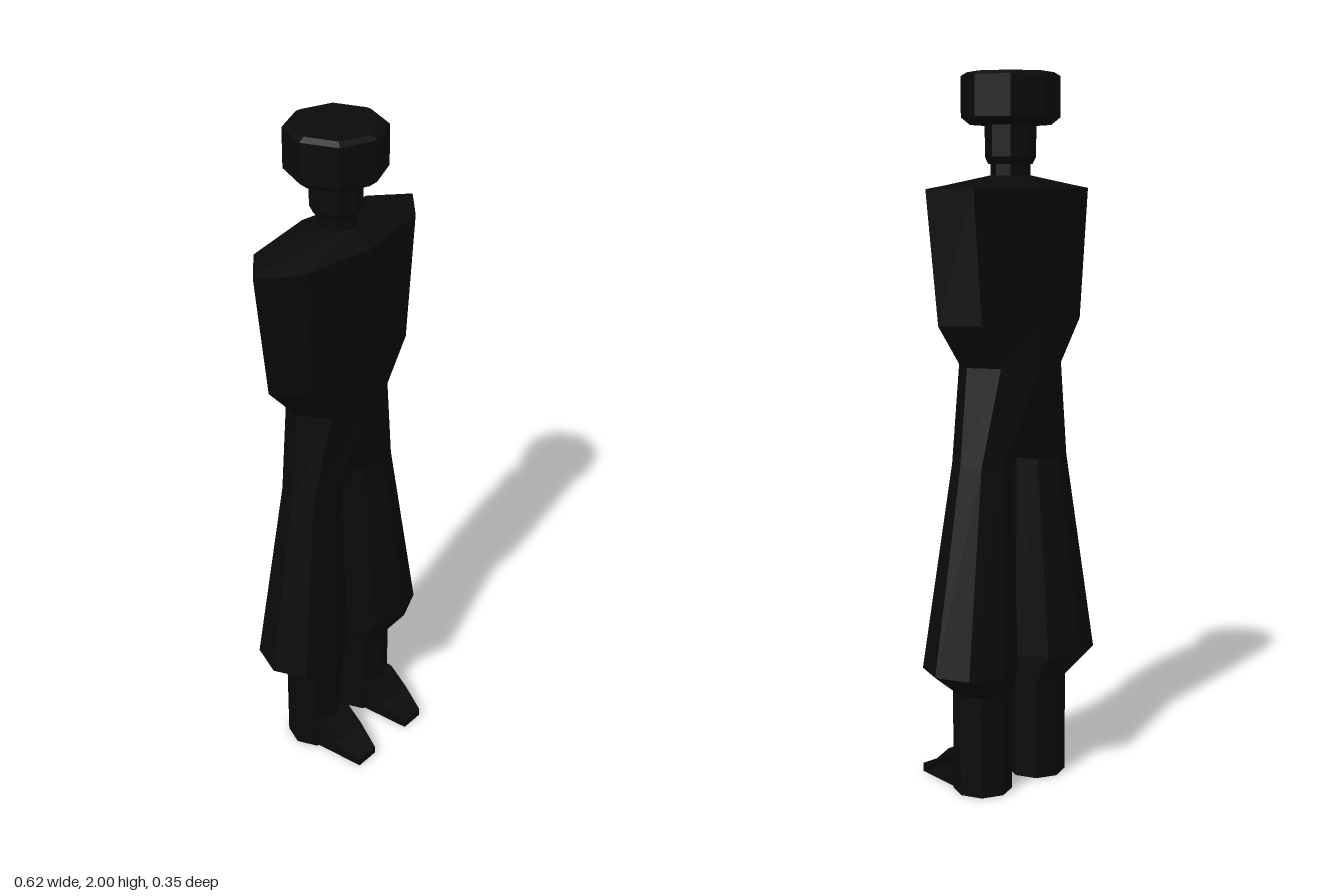
import * as THREE from 'three';

const CZ = -0.038; // depth of the body's centre line
const SIDES = 8;
const material = new THREE.MeshStandardMaterial({ color: 0x0a0a0a, flatShading: true });

// Octagonal cross-section with corners on the axes
function ring(y, rx, rz = rx, cx = 0) {
  return Array.from({ length: SIDES }, (_, i) => {
    const a = (i / SIDES) * Math.PI * 2;
    return [cx + Math.cos(a) * rx, y, CZ + Math.sin(a) * rz];
  });
}

// Skin a stack of equal-sized rings, listed from bottom to top
function loft(name, rings, capBottom = true, capTop = true) {
  const n = rings[0].length;
  const positions = rings.flat(2);
  const index = [];
  for (let r = 0; r < rings.length - 1; r++) {
    for (let i = 0; i < n; i++) {
      const a = r * n + i, b = r * n + (i + 1) % n;
      index.push(a, a + n, b, b, a + n, b + n);
    }
  }
  const top = (rings.length - 1) * n;
  for (let i = 1; i < n - 1; i++) {
    if (capBottom) index.push(0, i, i + 1);
    if (capTop) index.push(top, top + i + 1, top + i);
  }
  const geometry = new THREE.BufferGeometry();
  geometry.setAttribute('position', new THREE.Float32BufferAttribute(positions, 3));
  geometry.setIndex(index);
  const flat = geometry.toNonIndexed();
  flat.computeVertexNormals();
  const mesh = new THREE.Mesh(flat, material);
  mesh.name = name;
  return mesh;
}

// Flip a ring across x = 0, keeping its winding
const mirror = (r) => r.map(([x, y, z]) => [-x, y, z]).reverse();

// Upper end of a trouser leg: half the waist, closed by an arch at the crotch
function hipRing() {
  const waist = ring(1.21, 0.166, 0.117);
  return [
    waist[0], waist[1], [0, 1.21, CZ + 0.117],
    [0, 1.0, CZ + 0.085], [0, 0.965, CZ], [0, 1.0, CZ - 0.09],
    [0, 1.21, CZ - 0.117], waist[7],
  ];
}

// Shoe front: side profile extruded across, narrowed towards the toe
function shoe(side) {
  const shape = new THREE.Shape([
    [-0.04, 0], [0.175, 0], [0.175, 0.025], [0.1, 0.06], [0.04, 0.112], [-0.04, 0.112],
  ].map(([z, y]) => new THREE.Vector2(-z, y)));
  const geometry = new THREE.ExtrudeGeometry(shape, { depth: 0.118, bevelEnabled: false });
  geometry.translate(0, 0, -0.059).rotateY(Math.PI / 2);
  const p = geometry.attributes.position;
  for (let i = 0; i < p.count; i++) {
    const taper = p.getZ(i) > 0.15 ? 0.61 : 1;
    p.setX(i, p.getX(i) * taper + side * 0.109);
  }
  geometry.computeVertexNormals();
  const mesh = new THREE.Mesh(geometry, material);
  mesh.name = 'shoe';
  return mesh;
}

export function createModel() {
  const model = new THREE.Group();
  model.name = 'figure';

  // Torso with wide shoulders
  model.add(loft('torso', [
    ring(1.21, 0.166, 0.117),
    ring(1.33, 0.27, 0.12),
    ring(1.69, 0.312, 0.12),
    ring(1.725, 0.055, 0.055),
  ], false));

  // Neck, head and flat cap
  model.add(loft('neck', [ring(1.71, 0.055), ring(1.765, 0.055)]));
  model.add(loft('head', [ring(1.755, 0.06), ring(1.775, 0.07), ring(1.88, 0.07)]));
  model.add(loft('cap', [
    ring(1.86, 0.11), ring(1.88, 0.135), ring(1.99, 0.135), ring(2, 0.118),
  ]));

  // Legs: boot shaft, flared trouser hem, hip
  for (const side of [1, -1]) {
    const leg = new THREE.Group();
    leg.name = side > 0 ? 'leftLeg' : 'rightLeg';
    const place = (r) => (side > 0 ? r : mirror(r));
    const boot = [ring(0, 0.084, 0.083, 0.109), ring(0.3, 0.084, 0.083, 0.109)];
    const trouser = [
      ring(0.29, 0.084, 0.083, 0.109),
      ring(0.365, 0.133, 0.133, 0.156),
      ring(0.94, 0.083, 0.083, 0.109),
      hipRing(),
    ];
    leg.add(loft('boot', boot.map(place)));
    leg.add(loft('trouserLeg', trouser.map(place), true, false));
    leg.add(shoe(side));
    model.add(leg);
  }
  return model;
}
